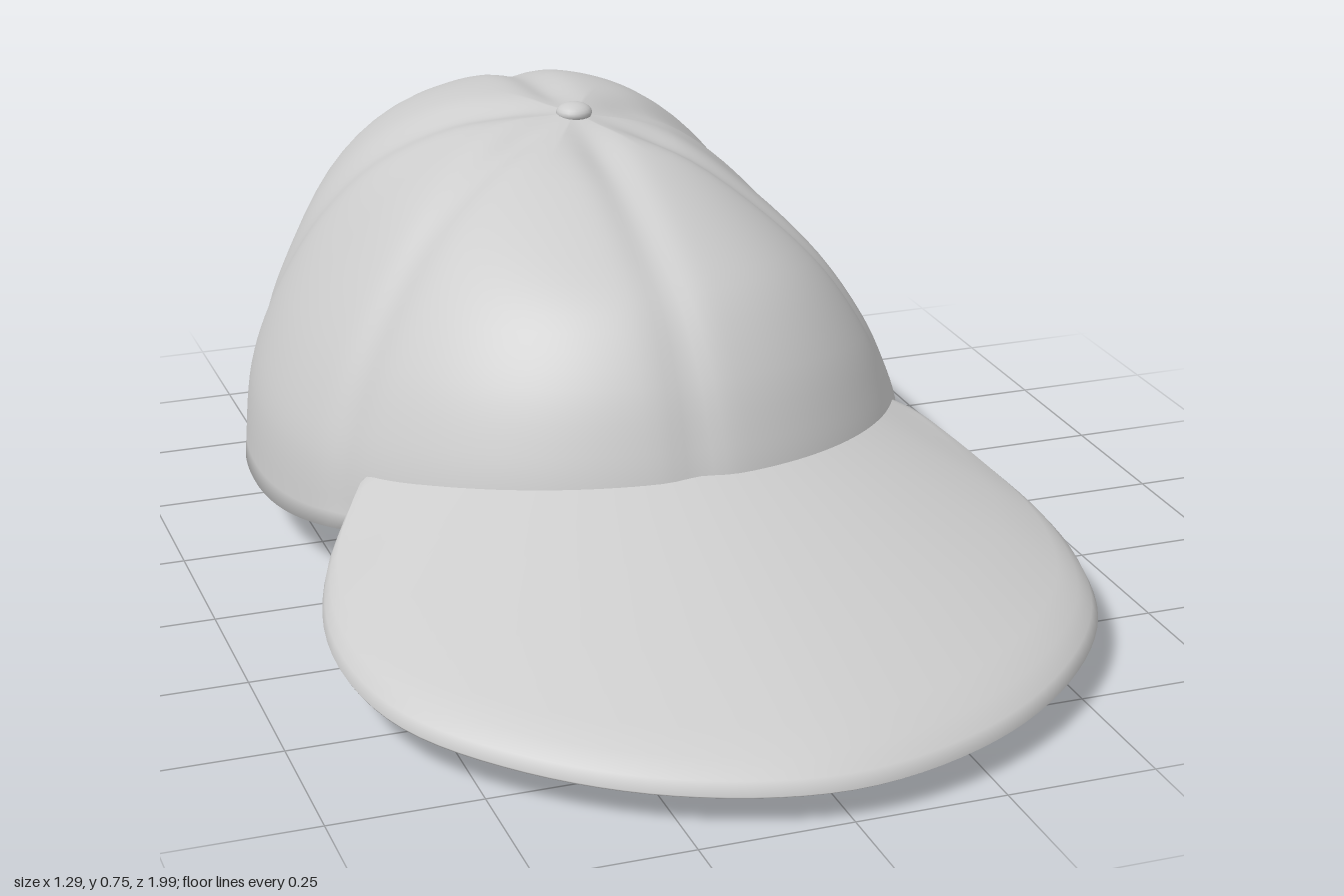
import * as THREE from 'three';
import { mergeVertices } from 'three/addons/utils/BufferGeometryUtils.js';

const AZ = -0.32; // z of the crown's apex
const COLS = 180, ROWS = 32, NOTCH_ROW = 28, NOTCH_COLS = 9;

// Smooth surface from a rule fn(i, j) -> Vector3, with optional skipped cells
function grid(cols, rows, fn, skip = () => false) {
  const pos = [], idx = [];
  for (let j = 0; j <= rows; j++)
    for (let i = 0; i <= cols; i++) pos.push(...fn(i, j).toArray());
  for (let j = 0; j < rows; j++)
    for (let i = 0; i < cols; i++) {
      if (skip(i, j)) continue;
      const a = j * (cols + 1) + i, b = a + cols + 1;
      idx.push(a, b, a + 1, b, b + 1, a + 1);
    }
  let g = new THREE.BufferGeometry();
  g.setAttribute('position', new THREE.Float32BufferAttribute(pos, 3));
  g.setIndex(idx);
  g = mergeVertices(g, 1e-5);
  g.computeVertexNormals();
  return g;
}

const curve = (pts) => new THREE.CatmullRomCurve3(pts.map(([x, y, z = 0]) => new THREE.Vector3(x, y, z)));

// Crown meridians as (radius, height), apex to rim
const front = curve([[0, 0.745], [0.12, 0.724], [0.25, 0.688], [0.42, 0.612], [0.52, 0.55], [0.6, 0.45], [0.645, 0.35], [0.663, 0.29], [0.67, 0.245]]);
const back = curve([[0, 0.745], [0.14, 0.75], [0.32, 0.733], [0.5, 0.665], [0.605, 0.568], [0.655, 0.42], [0.675, 0.31], [0.677, 0.22], [0.66, 0.005]]);
const left = curve([[0, 0.745], [0.1, 0.722], [0.2, 0.678], [0.33, 0.572], [0.43, 0.467], [0.505, 0.355], [0.54, 0.28], [0.565, 0.205], [0.575, 0.115]]);
const right = curve([[0, 0.745], [0.1, 0.742], [0.2, 0.715], [0.33, 0.637], [0.43, 0.532], [0.51, 0.42], [0.56, 0.32], [0.585, 0.24], [0.6, 0.115]]);

// Point on the crown: angle from the front, t from apex to rim, depth into the cloth
function crownPoint(angle, t, depth) {
  const c = Math.cos(angle), s = Math.sin(angle);
  const p = (c > 0 ? front : back).getPoint(t).multiplyScalar(c * c);
  p.addScaledVector((s > 0 ? left : right).getPoint(t), s * s);
  let r = p.x, y = p.y;
  // fuller rear quarters
  const off = Math.abs(angle - Math.PI);
  r += 0.028 * t * t * Math.exp(-(((off - 0.45) / 0.25) ** 2));
  // six stitched valleys between the panels
  const step = Math.PI / 3;
  const d = Math.abs(angle - Math.round(angle / step) * step) * r;
  const dip = 0.02 * Math.exp(-((d / 0.04) ** 2)) * Math.min(1, r / 0.15) * Math.sqrt(1 - t);
  r = (r - dip * t) * (1 - 1.6 * depth);
  y -= dip * (1 - t) + depth * (1 - t * t);
  return new THREE.Vector3(r * s, y, AZ + r * c);
}

const colAngle = (i) => ((i % COLS) / COLS) * Math.PI * 2;
const CLOTH = 0.02;

function crownGeometry() {
  // outside rows run down to the rim, inside rows run back up
  const total = ROWS * 2 + 1;
  const point = (i, j) => j <= ROWS
    ? crownPoint(colAngle(i), j / ROWS, 0)
    : crownPoint(colAngle(i), (total - j) / ROWS, CLOTH);
  const inNotch = (i, j) => i >= COLS / 2 - NOTCH_COLS && i < COLS / 2 + NOTCH_COLS
    && j >= NOTCH_ROW && j < total - NOTCH_ROW;
  return grid(COLS, total, point, inNotch);
}

// Cut edge of the cloth around the rear opening
function notchEdges() {
  const a = COLS / 2 - NOTCH_COLS, b = COLS / 2 + NOTCH_COLS, n = ROWS - NOTCH_ROW;
  const side = (col, down) => grid(n, 1, (i, j) =>
    crownPoint(colAngle(col), (down ? NOTCH_ROW + i : ROWS - i) / ROWS, j * CLOTH));
  const top = grid(b - a, 1, (i, j) => crownPoint(colAngle(a + i), NOTCH_ROW / ROWS, j * CLOTH));
  return [side(a, false), top, side(b, true)];
}

function brimGeometry() {
  const half = [[0.49, 0.268, 0.03], [0.605, 0.18, 0.2], [0.643, 0.14, 0.39], [0.6, 0.115, 0.6], [0.46, 0.105, 0.79], [0.25, 0.098, 0.935]];
  const outer = curve([...half.map(([x, y, z]) => [-x, y, z]), [0, 0.096, 0.997], ...half.slice().reverse()]);
  // section: fraction from crown to edge, and drop below the top surface
  const section = [[0, 0], [0.3, 0], [0.6, 0], [0.84, 0], [0.92, -0.005], [0.975, -0.014], [1, -0.027],
    [0.985, -0.037], [0.94, -0.038], [0.84, -0.033], [0.5, -0.03], [0, -0.03]];
  const cols = 72;
  return grid(cols, section.length - 1, (i, j) => {
    const u = (i / cols) * 2 - 1, a = u * 0.95;
    const r = 0.645 * Math.cos(a) ** 2 + 0.555 * Math.sin(a) ** 2;
    const z = AZ + r * Math.cos(a);
    const inner = new THREE.Vector3(r * Math.sin(a), 0.27 + 0.125 * (z - 0.02), z);
    const [f, drop] = section[j];
    const p = inner.lerp(outer.getPointAt(i / cols), f);
    // the ends close to an edge
    p.y += THREE.MathUtils.lerp(-0.015, drop, Math.min(1, (1 - Math.abs(u)) * 30));
    return p;
  });
}

// Curved band across the rear opening
function strapGeometry() {
  const R = 0.72, a = 0.35, shape = new THREE.Shape();
  shape.absarc(0, 0, R, Math.PI / 2 - a, Math.PI / 2 + a, false);
  shape.absarc(0, 0, R - 0.02, Math.PI / 2 + a, Math.PI / 2 - a, true);
  const g = new THREE.ExtrudeGeometry(shape, { depth: 0.105, bevelEnabled: false, curveSegments: 24 });
  g.rotateX(-Math.PI / 2); // plan +y becomes -z
  g.translate(0, 0.11, -0.258);
  return g;
}

export function createModel() {
  const cap = new THREE.Group();
  cap.name = 'cap';
  const cloth = new THREE.MeshStandardMaterial({ color: 0xcccccc });
  cloth.name = 'light grey cloth';
  const add = (name, geometry) => {
    const mesh = new THREE.Mesh(geometry, cloth);
    mesh.name = name;
    cap.add(mesh);
    return mesh;
  };

  add('crown', crownGeometry());
  notchEdges().forEach((g) => add('rearOpeningEdge', g));
  add('brim', brimGeometry());
  add('strap', strapGeometry());

  const button = add('topButton', new THREE.SphereGeometry(0.032, 20, 12));
  button.scale.y = 0.55;
  button.position.set(0, 0.743, AZ);
  return cap;
}
